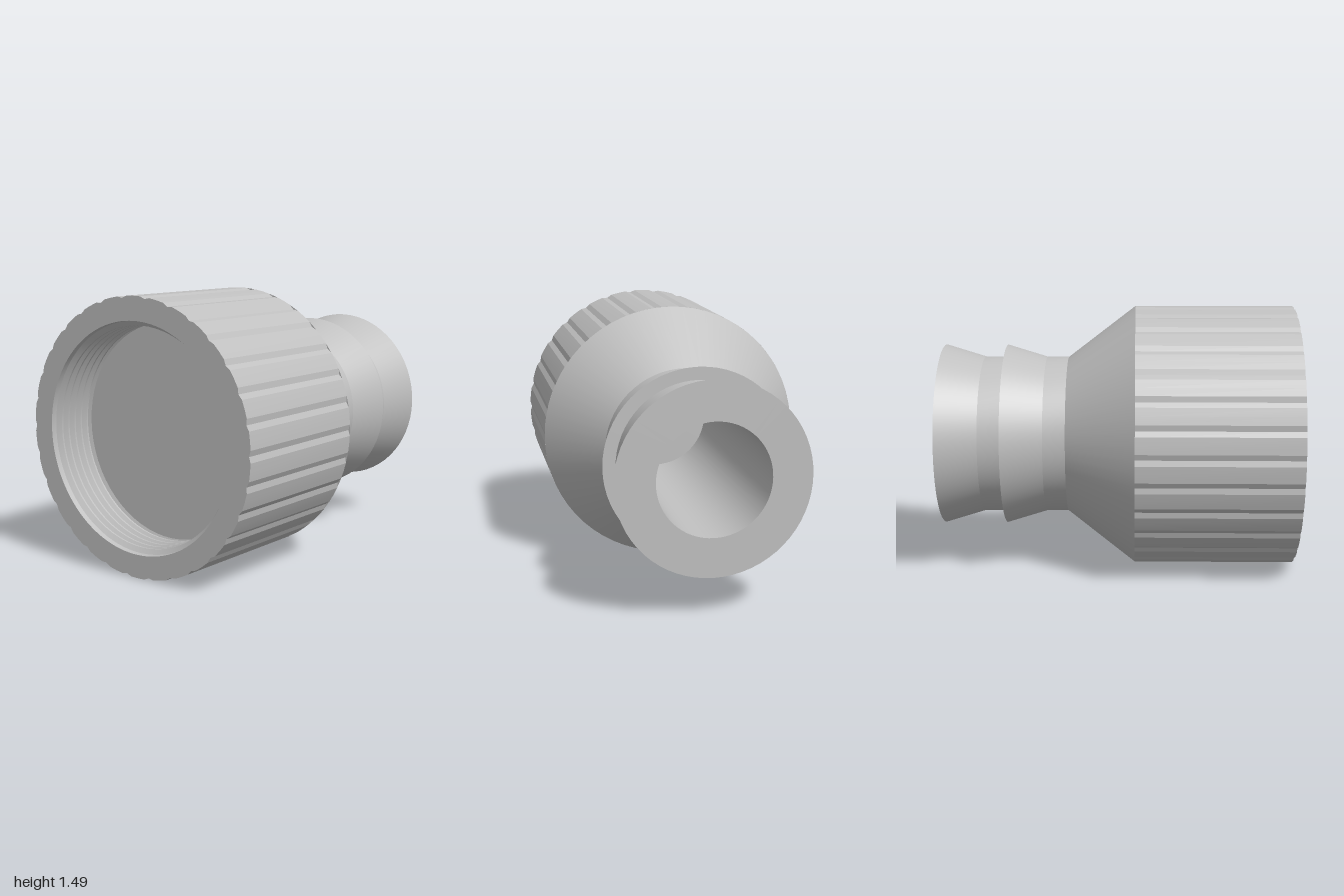
import * as THREE from 'three';
import { toCreasedNormals } from 'three/addons/utils/BufferGeometryUtils.js';

const R = 0.745; // outer radius of the sleeve

// Revolve [radius, z] pairs around the z axis, keeping profile corners sharp
function revolve(profile, segments = 64) {
  const points = profile.map(([r, z]) => new THREE.Vector2(r, z));
  const geometry = new THREE.LatheGeometry(points, segments).rotateX(Math.PI / 2);
  return toCreasedNormals(geometry, 0.25);
}

export function createModel() {
  const model = new THREE.Group();
  model.name = 'hoseFitting';
  const grey = new THREE.MeshStandardMaterial({ color: 0xc0c0c0 });
  grey.name = 'light grey';

  const body = new THREE.Group();
  body.name = 'fittingBody';
  body.position.y = R;
  model.add(body);

  const add = (name, geometry) => {
    const mesh = new THREE.Mesh(geometry, grey);
    mesh.name = name;
    body.add(mesh);
  };

  // Grip sleeve: shallow scallops all round, with a round opening
  const teeth = 30;
  const outline = [];
  for (let i = 0; i < teeth; i++) {
    for (const [t, r] of [[0, R - 0.01], [0.2, R], [0.5, R], [0.8, R]]) {
      const a = ((i + t) / teeth) * Math.PI * 2;
      outline.push(new THREE.Vector2(Math.cos(a) * r, Math.sin(a) * r));
    }
  }
  const ring = new THREE.Shape(outline);
  ring.holes.push(new THREE.Path().absarc(0, 0, 0.617, 0, Math.PI * 2, true));
  const sleeve = new THREE.ExtrudeGeometry(ring, { depth: 0.9, bevelEnabled: false, curveSegments: 64 });
  add('gripSleeve', toCreasedNormals(sleeve.translate(0, 0, 0.1), 0.12));

  // Threaded socket with a closed floor
  const thread = [[0.617, 0.999], [0.615, 0.97]];
  const turns = 5, pitch = 0.048;
  for (let i = 0; i < turns; i++) {
    const z = 0.97 - i * pitch;
    thread.push([0.59, z - pitch * 0.4], [0.59, z - pitch * 0.6], [0.615, z - pitch]);
  }
  thread.push([0.59, 0.72], [0, 0.72]);
  add('threadedSocket', revolve(thread));

  // Bore, two barbs, neck and conical shoulder
  add('barbedNeck', revolve([
    [0, 0.5], [0.305, 0.5], [0.305, -1],
    [0.52, -1], [0.45, -0.77], [0.45, -0.64],
    [0.52, -0.64], [0.45, -0.41], [0.45, -0.285],
    [R, 0.1], [0.7, 0.1],
  ]));

  return model;
}
